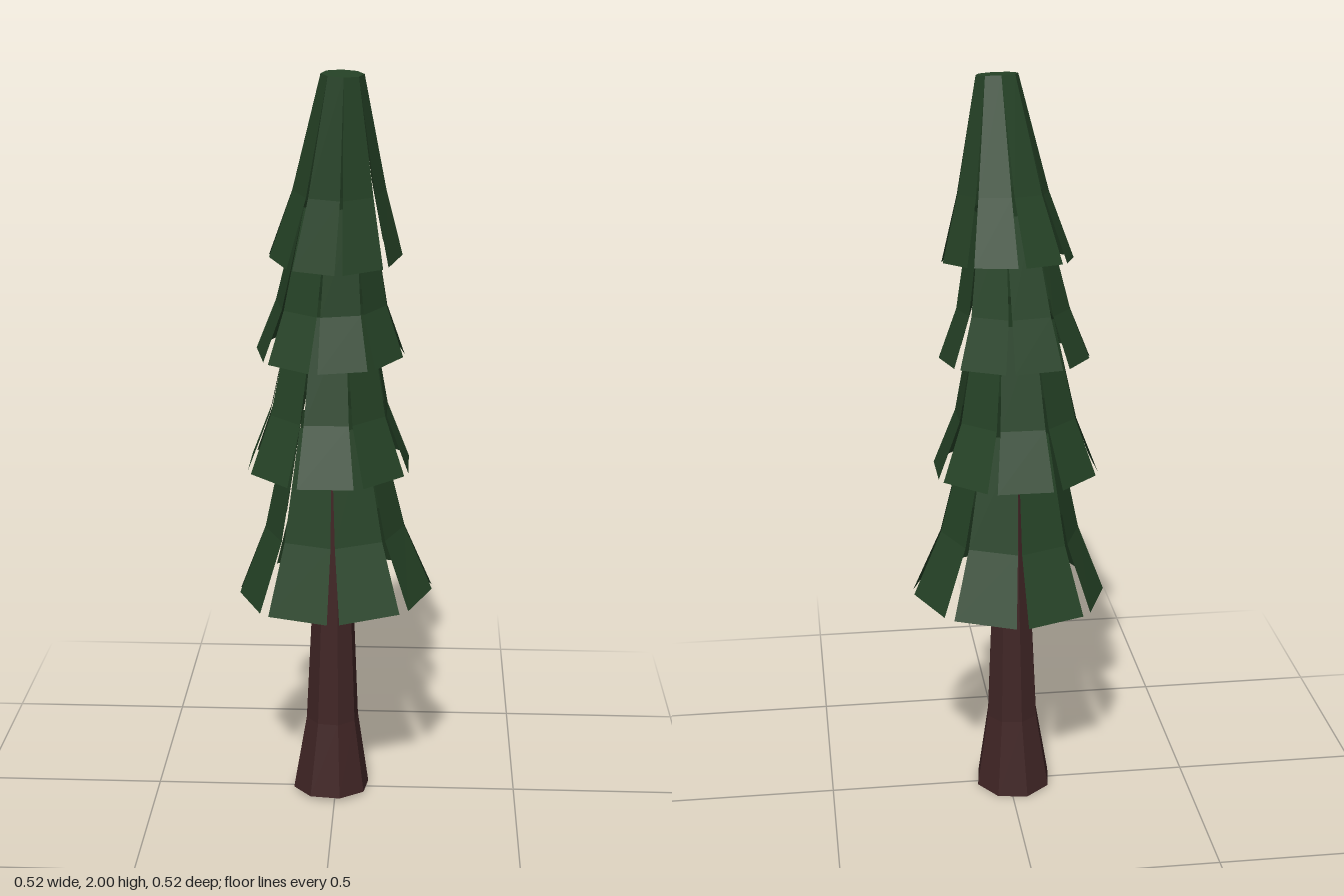
import * as THREE from 'three';

const SIDES = 8;
const STEP = (Math.PI * 2) / SIDES;

// Ring: centre x, y, z, radius r, tilts kx / kz, and half-gap g (radians) between panels
function ringPoint(ring, angle) {
  const { x = 0, y, z = 0, r, kx = 0, kz = 0 } = ring;
  const dx = Math.cos(angle) * r;
  const dz = -Math.sin(angle) * r;
  return [x + dx, y + dx * kx + dz * kz, z + dz];
}

// Joins rings (bottom to top) with eight flat-sided panels, optionally split by gaps
function loft(rings, rotation, capTop, capBottom) {
  const pos = [];
  const start = THREE.MathUtils.degToRad(rotation);
  const corners = (ring, i) => {
    const g = ring.g || 0;
    return [
      ringPoint(ring, start + STEP * i + g),
      ringPoint(ring, start + STEP * (i + 1) - g),
    ];
  };
  const first = rings[0];
  const last = rings[rings.length - 1];
  const centre = (ring) => [ring.x || 0, ring.y, ring.z || 0];
  for (let i = 0; i < SIDES; i++) {
    for (let k = 0; k < rings.length - 1; k++) {
      const [a, b] = corners(rings[k], i);
      const [d, c] = corners(rings[k + 1], i);
      pos.push(...a, ...b, ...c, ...a, ...c, ...d);
    }
    if (capTop) {
      const [a, b] = corners(last, i);
      pos.push(...centre(last), ...a, ...b);
    }
    if (capBottom) {
      const [a, b] = corners(first, i);
      pos.push(...centre(first), ...b, ...a);
    }
  }
  const geometry = new THREE.BufferGeometry();
  geometry.setAttribute('position', new THREE.Float32BufferAttribute(pos, 3));
  geometry.computeVertexNormals();
  return geometry;
}

export function createModel() {
  const bark = new THREE.MeshStandardMaterial({ color: 0x402525, flatShading: true });
  bark.name = 'bark brown';
  const needles = new THREE.MeshStandardMaterial({
    color: 0x254226, flatShading: true, side: THREE.DoubleSide,
  });
  needles.name = 'needle green';

  const model = new THREE.Group();
  model.name = 'pineTree';

  const add = (name, material, rings, rotation, capTop, capBottom) => {
    const mesh = new THREE.Mesh(loft(rings, rotation, capTop, capBottom), material);
    mesh.name = name;
    model.add(mesh);
  };

  // Trunk, flared at the foot
  add('trunk', bark, [
    { x: -0.013, y: 0.007, r: 0.107, kz: 0.06 },
    { x: -0.01, y: 0.22, r: 0.073 },
    { x: -0.008, y: 0.6, r: 0.056 },
    { x: -0.008, y: 1.0, r: 0.045 },
  ], 15, true, true);

  // Skirts of foliage, each split into eight panels that spread apart downwards
  add('lowestSkirt', needles, [
    { y: 0.598, r: 0.262, kx: 0.03, kz: -0.01, g: 0.062 },
    { x: -0.003, y: 0.78, r: 0.188, kx: 0.02, g: 0.03 },
    { x: -0.008, y: 1.08, r: 0.12 },
  ], 1, false, false);

  add('lowerSkirt', needles, [
    { x: -0.018, y: 0.957, r: 0.225, kz: -0.03, g: 0.06 },
    { x: -0.018, y: 1.11, r: 0.165, kz: -0.03, g: 0.03 },
    { x: -0.012, y: 1.38, r: 0.11 },
  ], 22.5, false, false);

  add('upperSkirt', needles, [
    { x: -0.015, y: 1.267, r: 0.198, kz: -0.07, g: 0.06 },
    { x: -0.012, y: 1.4, r: 0.148, kz: -0.07, g: 0.03 },
    { x: 0, y: 1.66, r: 0.095, z: 0.02 },
  ], -10, false, false);

  // Crown leans towards the front and ends in a blunt tip
  add('crown', needles, [
    { x: 0, y: 1.527, z: 0.013, r: 0.173, kz: -0.12, g: 0.06 },
    { x: 0.01, y: 1.7, z: 0.03, r: 0.12, kz: -0.1, g: 0.03 },
    { x: 0.02, y: 1.995, z: 0.072, r: 0.055, kx: -0.03, kz: -0.08 },
  ], 5, true, false);

  return model;
}
